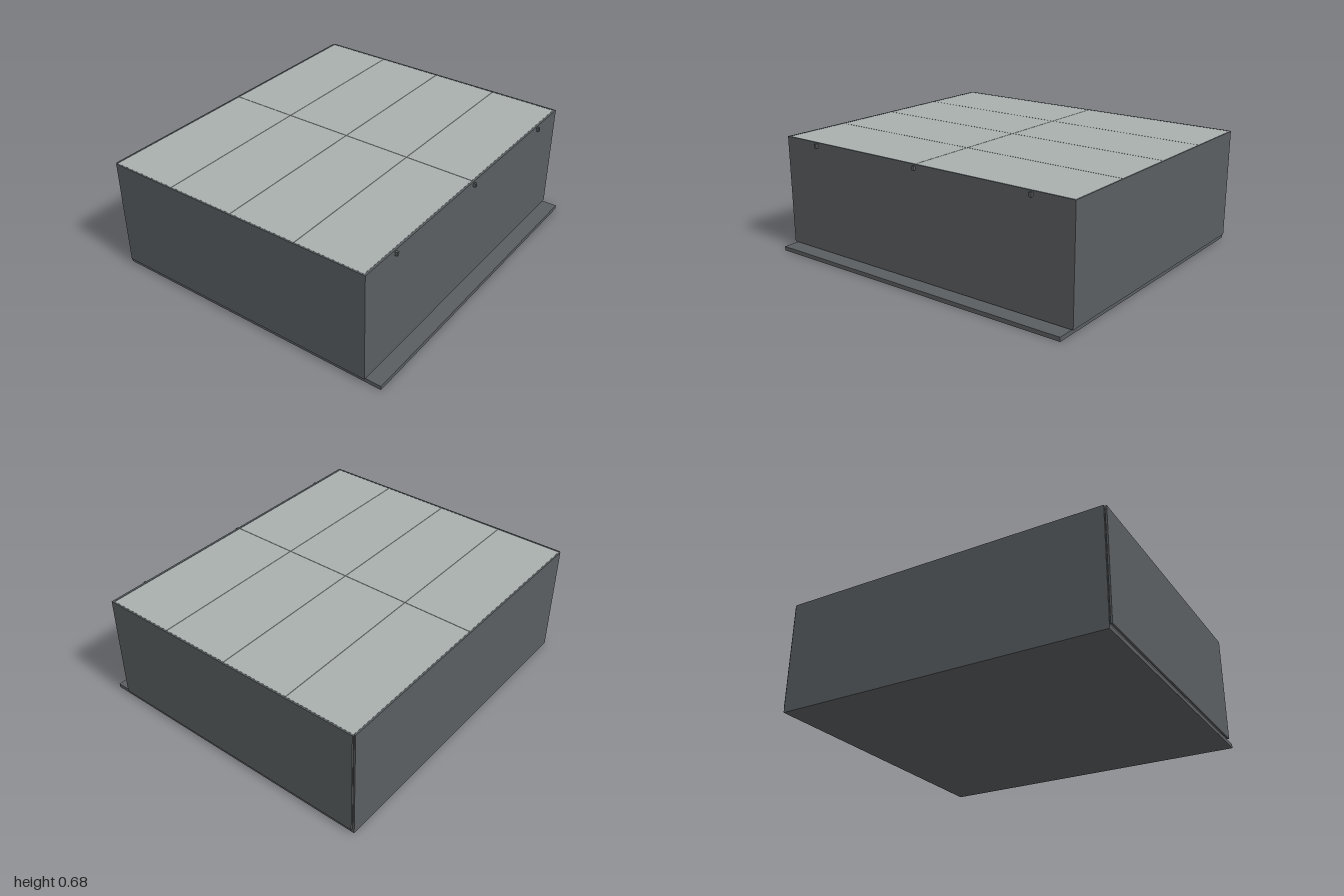
import * as THREE from 'three';

export function createModel() {
  const group = new THREE.Group();
  const material = (name, color) => {
    const m = new THREE.MeshStandardMaterial({ color });
    m.name = name;
    return m;
  };
  const dark = material('dark grey', 0x5a5e61);
  const light = material('light grey', 0xa8b0ae);

  // Box given by its lower and upper limits on each axis
  const box = (name, mat, [x0, x1], [y0, y1], [z0, z1]) => {
    const mesh = new THREE.Mesh(new THREE.BoxGeometry(x1 - x0, y1 - y0, z1 - z0), mat);
    mesh.position.set((x0 + x1) / 2, (y0 + y1) / 2, (z0 + z1) / 2);
    mesh.name = name;
    group.add(mesh);
  };

  // Base plate with a ledge at the front
  box('basePlate', dark, [-0.988, 0.988], [0, 0.024], [-0.89, 0.89]);

  // Body inside the wall panels, leaving a thin seam above the base
  box('innerBody', dark, [-0.985, 0.985], [0.024, 0.674], [-0.875, 0.782]);

  // Wall panels
  const wall = [0.028, 0.679];
  box('frontPanel', dark, [-0.99, 0.99], wall, [0.785, 0.798]);
  box('backPanel', dark, [-0.988, 0.988], [0.024, 0.679], [-0.89, -0.88]);
  for (const s of [-1, 1]) {
    const x = [s * 0.99, s].sort((a, b) => a - b);
    box(s > 0 ? 'leftPanel' : 'rightPanel', dark, x, wall, [-0.88, 0.798]);
  }

  // Top tiles, two across and four deep, with hairline seams
  const zBack = -0.88, depth = 1.665 / 4, gap = 0.0015;
  for (let i = 0; i < 2; i++) {
    for (let j = 0; j < 4; j++) {
      const x = -0.99 + i * 0.99, z = zBack + j * depth;
      box('topTile', light, [x + gap, x + 0.99 - gap], [0.67, 0.678],
        [z + gap, z + depth - gap]);
    }
  }

  // Small catches along the upper front edge
  for (const x of [-0.75, 0, 0.75]) {
    box('frontCatch', dark, [x - 0.007, x + 0.007], [0.648, 0.671], [0.798, 0.814]);
  }

  return group;
}
